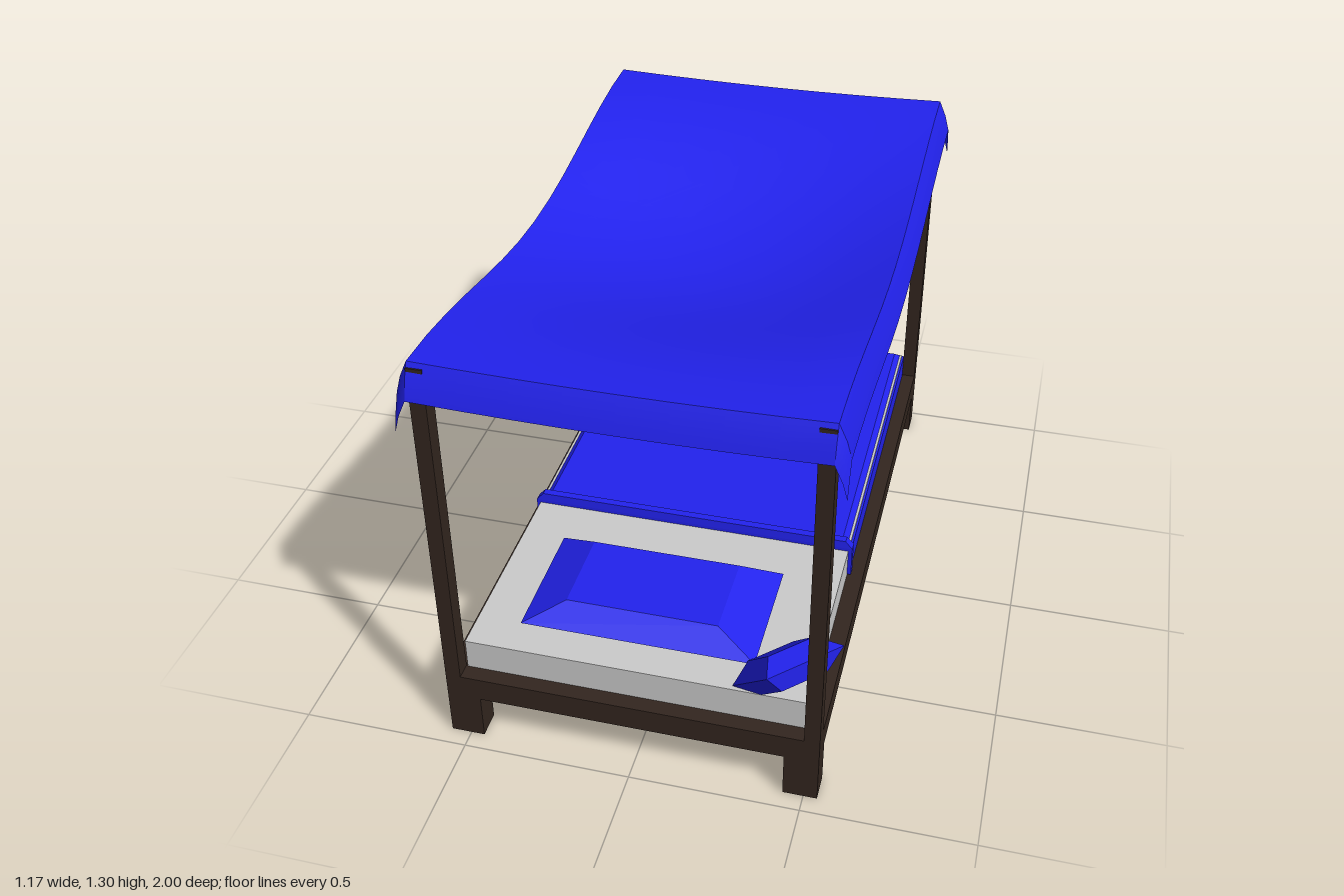
import * as THREE from 'three';
import { toCreasedNormals } from 'three/addons/utils/BufferGeometryUtils.js';

const wood = new THREE.MeshStandardMaterial({ color: 0x33261f });
const sheet = new THREE.MeshStandardMaterial({ color: 0xcccccc });
const cloth = new THREE.MeshStandardMaterial({ color: 0x2222ee, flatShading: true });
const canopyCloth = new THREE.MeshStandardMaterial({ color: 0x2222ee, side: THREE.DoubleSide });

function add(parent, name, geometry, material) {
  const mesh = new THREE.Mesh(geometry, material);
  mesh.name = name;
  parent.add(mesh);
  return mesh;
}

// Box given by its extents
function block(x0, x1, y0, y1, z0, z1) {
  return new THREE.BoxGeometry(x1 - x0, y1 - y0, z1 - z0)
    .translate((x0 + x1) / 2, (y0 + y1) / 2, (z0 + z1) / 2);
}

// Closed solid through stacked rectangles [y, x0, x1, z0, z1], lowest first
function loft(rects) {
  const pos = [], index = [];
  for (const [y, x0, x1, z0, z1] of rects) pos.push(x0, y, z1, x1, y, z1, x1, y, z0, x0, y, z0);
  for (let r = 0; r < rects.length - 1; r++) {
    for (let i = 0; i < 4; i++) {
      const a = r * 4 + i, b = r * 4 + (i + 1) % 4;
      index.push(a, b, b + 4, a, b + 4, a + 4);
    }
  }
  const t = (rects.length - 1) * 4;
  index.push(0, 2, 1, 0, 3, 2, t, t + 1, t + 2, t, t + 2, t + 3);
  const g = new THREE.BufferGeometry();
  g.setAttribute('position', new THREE.Float32BufferAttribute(pos, 3));
  g.setIndex(index);
  const flat = g.toNonIndexed();
  flat.computeVertexNormals();
  return flat;
}

// Bevelled cushion, widest at mid height
function cushion(w, d, h, inX, inZ) {
  const x = w / 2, z = d / 2;
  const face = (y) => [y, -x + inX, x - inX, -z + inZ, z - inZ];
  return loft([face(-h / 2), [0, -x, x, -z, z], face(h / 2)]);
}

// Stations across the canopy: the flat span plus a flared, dropping hem at each end
function stations(min, max, count) {
  const list = [];
  for (let i = 0; i <= count; i++) list.push({ p: min + (max - min) * i / count, out: 0, drop: 0 });
  for (const [out, drop] of [[0.022, 0.05], [0.036, 0.1]]) {
    list.unshift({ p: min, out: -out, drop });
    list.push({ p: max, out, drop });
  }
  return list;
}

// Sagging cloth; the two hem drops add up to hanging tips at the corners
function canopyGeometry() {
  const xs = stations(-0.56, 0.54, 8), zs = stations(-0.96, 0.935, 14);
  const pos = [], index = [];
  for (const z of zs) {
    for (const x of xs) {
      const dip = 0.5 + 0.5 * Math.cos(Math.PI * (z.p + 0.0125) / 0.9475);
      const across = 1 - ((x.p + 0.01) / 0.55) ** 2;
      const y = 1.3 - 0.1 * dip - across * (0.01 + 0.09 * dip) - x.drop - z.drop;
      pos.push(x.p + x.out, y, z.p + z.out);
    }
  }
  const n = xs.length;
  for (let j = 0; j < zs.length - 1; j++) {
    for (let i = 0; i < n - 1; i++) {
      const a = j * n + i;
      index.push(a, a + n, a + 1, a + 1, a + n, a + n + 1);
    }
  }
  const g = new THREE.BufferGeometry();
  g.setAttribute('position', new THREE.Float32BufferAttribute(pos, 3));
  g.setIndex(index);
  return toCreasedNormals(g, 0.5);
}

export function createModel() {
  const bed = new THREE.Group();
  bed.name = 'canopyBed';

  // Wooden base with a leg and a post at each corner
  const X0 = -0.56, X1 = 0.54, Z0 = -0.97, Z1 = 0.946;
  add(bed, 'bedFrame', block(X0, X1, 0.145, 0.222, Z0, Z1), wood);
  const corner = (sx, sz, w, d, y0, y1) => block(
    sx > 0 ? X1 - w : X0, sx > 0 ? X1 : X0 + w, y0, y1,
    sz > 0 ? Z1 - d : Z0, sz > 0 ? Z1 : Z0 + d);
  for (const sx of [-1, 1]) {
    for (const sz of [-1, 1]) {
      const where = (sz > 0 ? 'front' : 'back') + (sx > 0 ? 'Left' : 'Right');
      add(bed, where + 'Leg', corner(sx, sz, 0.1, 0.08, 0, 0.145), wood);
      add(bed, where + 'Post', corner(sx, sz, 0.045, 0.05, 0.222, 1.285), wood);
    }
  }

  // Bedding
  add(bed, 'mattress', block(-0.51, 0.49, 0.222, 0.32, -0.9, 0.898), sheet);
  add(bed, 'blanket', loft([
    [0.225, -0.516, 0.496, -0.912, 0.225],
    [0.308, -0.516, 0.496, -0.912, 0.225],
    [0.335, -0.485, 0.465, -0.88, 0.225],
  ]), cloth);
  add(bed, 'blanketFold', loft([
    [0.228, -0.522, 0.502, 0.21, 0.238],
    [0.33, -0.522, 0.502, 0.21, 0.238],
    [0.355, -0.5, 0.48, 0.212, 0.236],
  ]), cloth);

  // Pillows: one lying flat, a small one leaning into the front left corner
  add(bed, 'largePillow', cushion(0.685, 0.39, 0.12, 0.12, 0.063), cloth)
    .position.set(-0.012, 0.38, 0.652);
  const small = add(bed, 'smallPillow', cushion(0.25, 0.24, 0.1, 0.05, 0.05), cloth);
  small.position.set(0.425, 0.405, 0.855);
  small.rotation.set(-Math.PI / 4, Math.PI / 4, 0, 'YXZ');

  // Draped cloth over the posts
  add(bed, 'canopy', canopyGeometry(), canopyCloth);
  return bed;
}
